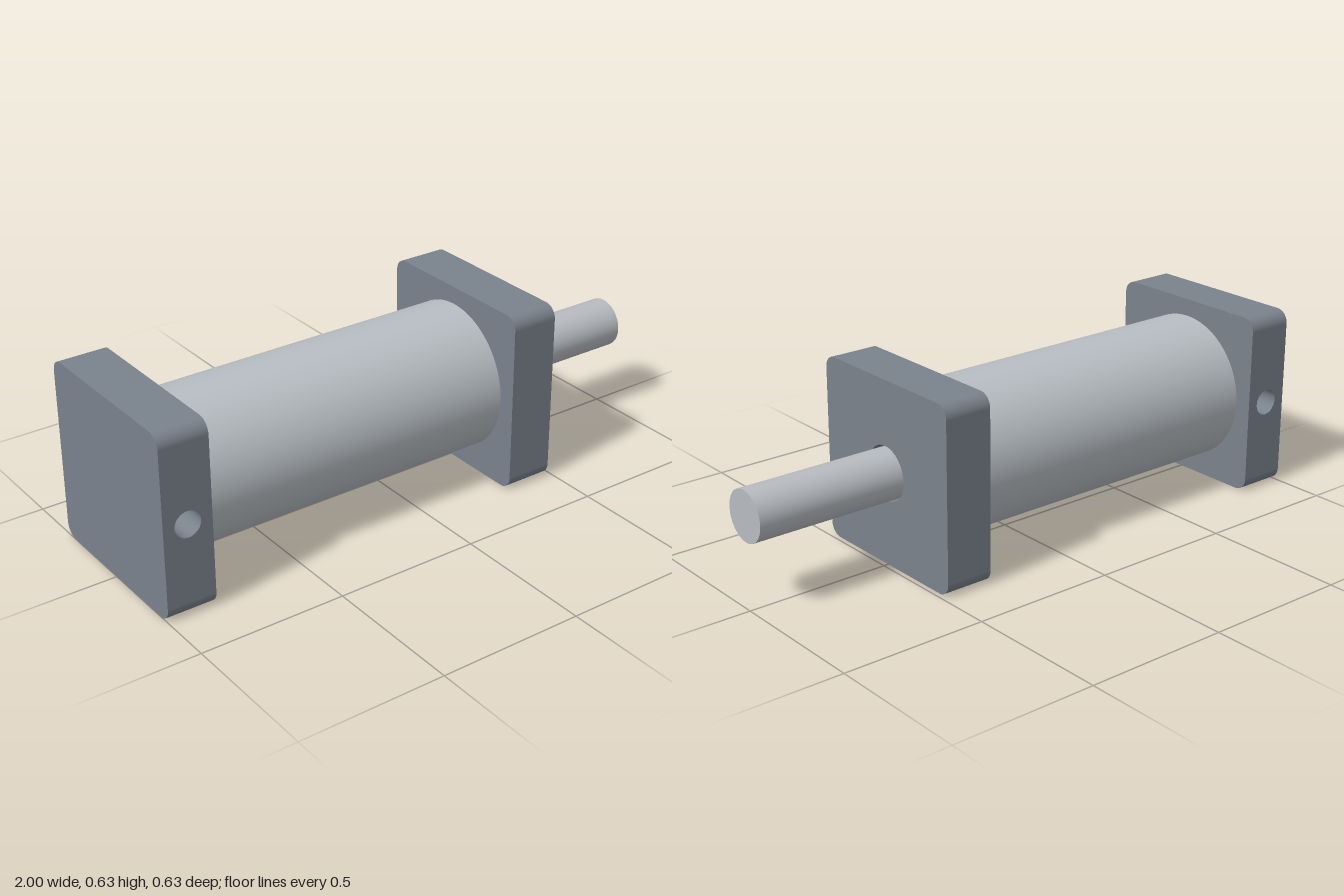
import * as THREE from 'three';
import { mergeGeometries } from 'three/addons/utils/BufferGeometryUtils.js';

const HALF = 0.315;    // half the width and height of an end cap; also the axis height
const CORNER = 0.045;  // corner radius of the end caps
const FLAT = HALF - CORNER;
const THICK = 0.168;   // end cap thickness along x

const material = (name, color, side = THREE.FrontSide) => {
  const m = new THREE.MeshStandardMaterial({ color, side });
  m.name = name;
  return m;
};

// Cylinder lying along x, from x0 to x1
function rodGeometry(radius, x0, x1, open = false) {
  return new THREE.CylinderGeometry(radius, radius, x1 - x0, 64, 1, open)
    .rotateZ(Math.PI / 2).translate((x0 + x1) / 2, 0, 0);
}

// Adds a round hole in the middle of a shape
function punch(shape, radius) {
  if (radius) shape.holes.push(new THREE.Path().absarc(0, 0, radius, 0, Math.PI * 2, true));
  return shape;
}

function roundedSquare() {
  const s = new THREE.Shape();
  for (let i = 0; i < 4; i++) {
    const a = i * Math.PI / 2;
    const sx = i === 0 || i === 3 ? 1 : -1, sy = i < 2 ? 1 : -1;
    s.absarc(sx * FLAT, sy * FLAT, CORNER, a, a + Math.PI / 2, false);
  }
  return s.closePath();
}

function sideRectangle() {
  const h = THICK / 2;
  return new THREE.Shape([
    new THREE.Vector2(-h, -FLAT), new THREE.Vector2(h, -FLAT),
    new THREE.Vector2(h, FLAT), new THREE.Vector2(-h, FLAT),
  ]);
}

// Square end cap with rounded long edges: boreRadius runs along x, pinRadius along z
function capGeometry(boreRadius, pinRadius) {
  const parts = [];
  for (const s of [1, -1]) {
    // end faces
    parts.push(new THREE.ShapeGeometry(punch(roundedSquare(), boreRadius), 16)
      .rotateY(s * Math.PI / 2).translate(s * THICK / 2, 0, 0));
    // front and back faces
    parts.push(new THREE.ShapeGeometry(punch(sideRectangle(), pinRadius), 24)
      .rotateY(s > 0 ? 0 : Math.PI).translate(0, 0, s * HALF));
    // top and bottom faces
    parts.push(new THREE.PlaneGeometry(THICK, 2 * FLAT)
      .rotateX(-s * Math.PI / 2).translate(0, s * HALF, 0));
  }
  // rounded long edges
  for (let i = 0; i < 4; i++) {
    const sy = i < 2 ? 1 : -1, sz = i === 0 || i === 3 ? 1 : -1;
    parts.push(new THREE.CylinderGeometry(CORNER, CORNER, THICK, 16, 1, true, i * Math.PI / 2, Math.PI / 2)
      .rotateZ(Math.PI / 2).translate(0, sy * FLAT, sz * FLAT));
  }
  // walls of the holes
  if (boreRadius) parts.push(rodGeometry(boreRadius, -THICK / 2, THICK / 2, true));
  if (pinRadius) {
    parts.push(new THREE.CylinderGeometry(pinRadius, pinRadius, 2 * HALF, 48, 1, true).rotateX(Math.PI / 2));
  }
  return mergeGeometries(parts);
}

export function createModel() {
  const capMetal = material('slate grey', 0x7a828c, THREE.DoubleSide);
  const tubeMetal = material('light grey', 0xb8bec3, THREE.DoubleSide);
  const rodMetal = material('silver', 0xb8bcc1);
  const brass = material('brass', 0xc8a660);

  const group = new THREE.Group();
  group.name = 'pistonCylinder';
  const add = (name, geometry, mat, x = 0) => {
    const mesh = new THREE.Mesh(geometry, mat);
    mesh.name = name;
    mesh.position.set(x, HALF, 0);
    group.add(mesh);
  };

  // End caps: closed one with a pin hole, open one for the rod
  add('rearCap', capGeometry(0, 0.045), capMetal, -1 + THICK / 2);
  add('rodCap', capGeometry(0.094, 0), capMetal, 0.315 + THICK / 2);

  // Hollow barrel between the caps
  add('barrel', rodGeometry(0.255, -0.832, 0.315, true), tubeMetal);
  add('barrelLining', rodGeometry(0.225, -0.832, 0.315, true), tubeMetal);

  // Moving parts
  add('piston', rodGeometry(0.22, -0.2, 0), brass);
  add('pistonRod', rodGeometry(0.086, 0, 1), rodMetal);
  return group;
}
